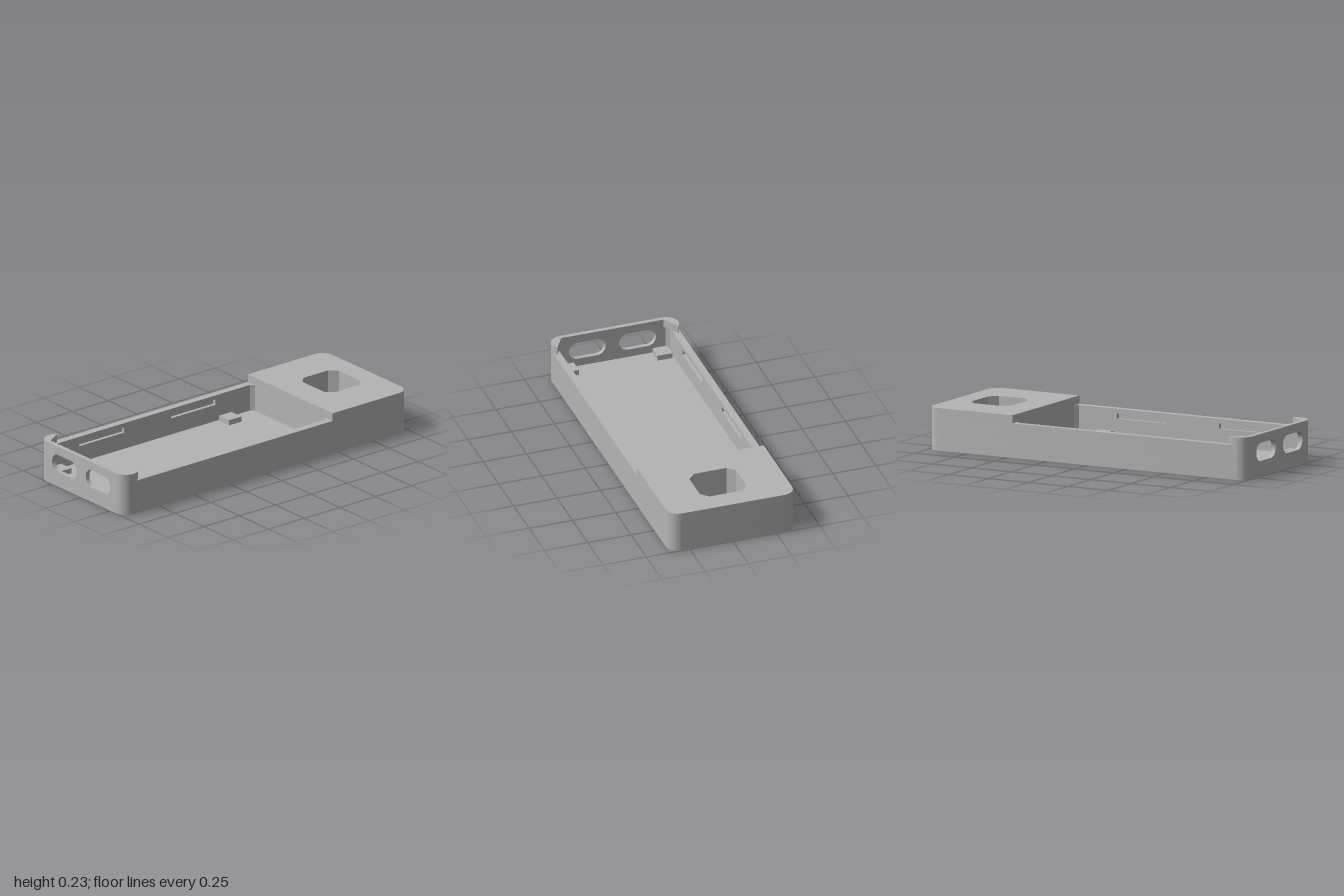
import * as THREE from 'three';
import { toCreasedNormals } from 'three/addons/utils/BufferGeometryUtils.js';

const R = 0.07, W = 0.365, C = W - R;        // corner radius, half width, straight half width
const FLOOR = 0.04, RIM = 0.19, TOP = 0.235; // heights
const X0 = -0.975, X1 = 0.465, ZI = 0.325, CH = 0.02; // cavity limits and corner chamfer
const SNAPS = [[-0.75, -0.435], [-0.107, 0.205]];     // snap recesses along each long wall

// Octagonal through hole in the solid end
function portHole() {
  const a = 0.625, b = 0.88, h = 0.135, c = 0.042;
  return new THREE.Path([
    [a + c, -h], [b - c, -h], [b, -h + c], [b, h - c],
    [b - c, h], [a + c, h], [a, h - c], [a, -h + c],
  ].map(([x, y]) => new THREE.Vector2(x, y)));
}

// Right-hand rounded end shared by every plan outline
function roundedEnd(s) {
  s.lineTo(1 - R, -W);
  s.absarc(1 - R, -C, R, -Math.PI / 2, 0, false);
  s.lineTo(1, C);
  s.absarc(1 - R, C, R, 0, Math.PI / 2, false);
}

function floorShape() {
  const s = new THREE.Shape();
  s.moveTo(-1, -C);
  s.absarc(R - 1, -C, R, Math.PI, Math.PI * 1.5, false);
  roundedEnd(s);
  s.lineTo(R - 1, W);
  s.absarc(R - 1, C, R, Math.PI / 2, Math.PI, false);
  s.holes.push(portHole());
  return s;
}

// Long walls and solid end in one outline, open where the end wall sits
function wallShape(notched) {
  const s = floorShape();
  const depth = 0.02;
  const side = [[X0, C], [X0, ZI - CH], [X0 + CH, ZI]];
  if (notched) {
    for (const [a, b] of SNAPS) side.push([a, ZI], [a, ZI + depth], [b, ZI + depth], [b, ZI]);
  }
  side.push([X1 - CH, ZI], [X1, ZI - CH]);
  for (const [x, z] of side) s.lineTo(x, z);
  for (const [x, z] of side.reverse()) s.lineTo(x, -z);
  return s;
}

function raisedBlockShape() {
  const s = new THREE.Shape();
  s.moveTo(X1, -W);
  roundedEnd(s);
  s.lineTo(X1, W);
  s.holes.push(portHole());
  return s;
}

// Rounded sliver that finishes the raised end wall at its corner
function cornerShape(sign) {
  const s = new THREE.Shape();
  const end = Math.PI - Math.acos((X0 - R + 1) / -R);
  s.moveTo(-1, sign * C);
  s.absarc(R - 1, sign * C, R, Math.PI, Math.PI - sign * end, sign > 0);
  s.lineTo(X0, sign * C);
  return s;
}

// Upright end panel with two rounded slots, drawn in z and y
function endWallShape() {
  const s = new THREE.Shape();
  s.moveTo(-C, FLOOR);
  s.lineTo(C, FLOOR);
  s.lineTo(C, TOP);
  s.lineTo(-C, TOP);
  const r = 0.05, half = 0.056, y = 0.136;
  for (const z of [-0.145, 0.145]) {
    const slot = new THREE.Path();
    slot.moveTo(z - half, y - r);
    slot.lineTo(z + half, y - r);
    slot.absarc(z + half, y, r, -Math.PI / 2, Math.PI / 2, false);
    slot.lineTo(z - half, y + r);
    slot.absarc(z - half, y, r, Math.PI / 2, Math.PI * 1.5, false);
    s.holes.push(slot);
  }
  return s;
}

function extrude(shape, depth) {
  return new THREE.ExtrudeGeometry(shape, { depth, bevelEnabled: false, curveSegments: 14 });
}

export function createModel() {
  const group = new THREE.Group();
  group.name = 'enclosure';
  const grey = new THREE.MeshStandardMaterial({ color: 0xb4b4b4 });
  grey.name = 'grey plastic';

  const add = (name, geometry) => {
    const mesh = new THREE.Mesh(toCreasedNormals(geometry, 0.5), grey);
    mesh.name = name;
    group.add(mesh);
  };
  // Plan outline raised between two heights
  const layer = (name, shape, y0, y1) =>
    add(name, extrude(shape, y1 - y0).rotateX(-Math.PI / 2).translate(0, y0, 0));

  layer('floor', floorShape(), 0, FLOOR);
  layer('lowerWalls', wallShape(false), FLOOR, 0.135);
  layer('snapRecessWalls', wallShape(true), 0.135, 0.165);
  layer('upperWalls', wallShape(false), 0.165, RIM);
  layer('raisedBlock', raisedBlockShape(), RIM, TOP);
  for (const sign of [1, -1]) layer('endWallCorner', cornerShape(sign), RIM, TOP);

  // Slotted end wall
  add('endWall', extrude(endWallShape(), 1 + X0).rotateY(-Math.PI / 2).translate(X0, 0, 0));

  // Board support pads
  for (const x of [-0.927, 0.265]) {
    for (const z of [-0.272, 0.268]) {
      add('supportPad', new THREE.BoxGeometry(0.086, 0.03, 0.086).translate(x, FLOOR + 0.015, z));
    }
  }
  return group;
}
